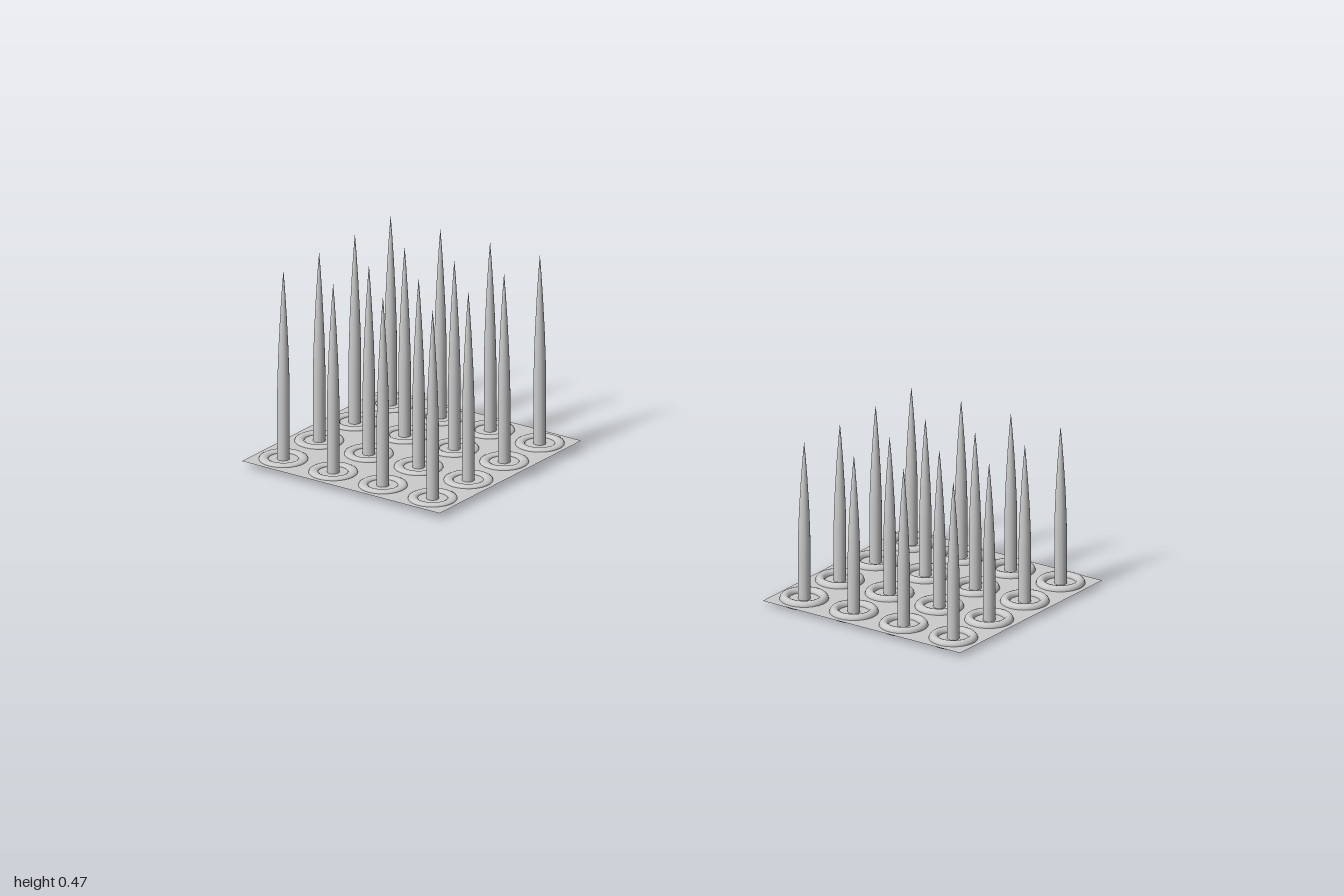
import * as THREE from 'three';

const material = new THREE.MeshStandardMaterial({ color: 0xcccccc });
const sheetMaterial = new THREE.MeshStandardMaterial({ color: 0xcccccc, side: THREE.DoubleSide });

const PLATE = 0.55;
const PITCH = 0.1385;

// Straight shaft that tapers in a gentle curve to a point
function spikeGeometry(height) {
  const profile = [
    [0.0145, 0], [0.0145, 0.33], [0.0138, 0.42], [0.0115, 0.58],
    [0.0075, 0.76], [0.0035, 0.9], [0, 1],
  ].map(([r, t]) => new THREE.Vector2(r, t * height));
  return new THREE.LatheGeometry(profile, 16);
}

// Rounded collar ring lying flat, with adjustable thickness
function collarGeometry(thickness) {
  const geometry = new THREE.TorusGeometry(0.045, 0.011, 12, 32);
  geometry.rotateX(-Math.PI / 2);
  geometry.scale(1, thickness / 0.022, 1);
  return geometry;
}

// Thin square plate with a 4 x 4 grid of collared spikes
function spikePanel(name, x, level, tip, thickness) {
  const panel = new THREE.Group();
  panel.name = name;
  panel.position.set(x, level, 0);

  const plate = new THREE.Mesh(new THREE.PlaneGeometry(PLATE, PLATE).rotateX(-Math.PI / 2), sheetMaterial);
  plate.name = 'plate';
  panel.add(plate);

  const spikeShape = spikeGeometry(tip - level);
  const collarShape = collarGeometry(thickness);
  for (let row = 0; row < 4; row++) {
    for (let col = 0; col < 4; col++) {
      const unit = new THREE.Group();
      unit.name = 'spikeUnit';
      unit.position.set((col - 1.5) * PITCH, 0, (row - 1.5) * PITCH);
      const spike = new THREE.Mesh(spikeShape, material);
      spike.name = 'spike';
      const collar = new THREE.Mesh(collarShape, material);
      collar.name = 'collar';
      unit.add(spike, collar);
      panel.add(unit);
    }
  }
  return panel;
}

export function createModel() {
  const model = new THREE.Group();
  model.name = 'spikeTraps';
  const x = 1 - PLATE / 2;
  model.add(
    spikePanel('leftPanel', x, 0.011, 0.392, 0.022),
    spikePanel('rightPanel', -x, 0.016, 0.475, 0.012),
  );
  return model;
}
